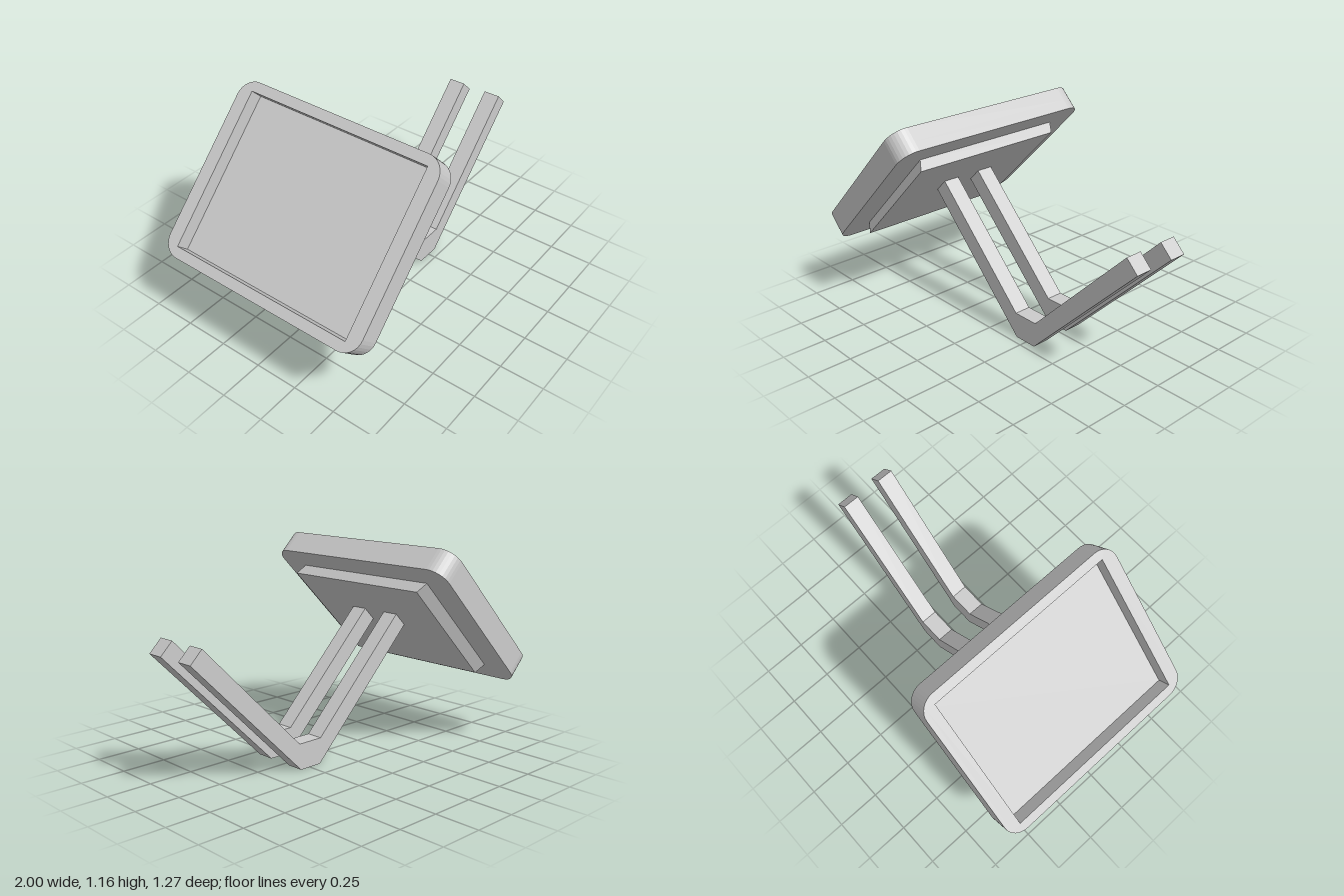
import * as THREE from 'three';

const material = new THREE.MeshStandardMaterial({ color: 0xcccccc, flatShading: true });

function addMesh(parent, name, geometry) {
  const mesh = new THREE.Mesh(geometry, material);
  mesh.name = name;
  parent.add(mesh);
  return mesh;
}

// Rounded rectangle centred on the origin
function roundedRect(w, h, r) {
  const x = w / 2 - r, y = h / 2 - r, q = Math.PI / 2;
  const shape = new THREE.Shape();
  [[x, y], [-x, y], [-x, -y], [x, -y]].forEach(([cx, cy], i) => {
    shape.absarc(cx, cy, r, i * q, (i + 1) * q, false);
  });
  shape.closePath();
  return shape;
}

function extrude(shape, depth) {
  return new THREE.ExtrudeGeometry(shape, { depth, bevelEnabled: false, curveSegments: 4 });
}

export function createModel() {
  const model = new THREE.Group();
  model.name = 'screenOnStand';

  const width = 1.266, height = 1.004, radius = 0.1;
  const thickness = 0.141, recess = 0.085;

  // Head: local x runs up the slope, local y across, local z out of the display
  const head = new THREE.Group();
  head.name = 'screenHead';
  const s = Math.SQRT1_2;
  head.quaternion.setFromRotationMatrix(new THREE.Matrix4().makeBasis(
    new THREE.Vector3(s, s, 0),
    new THREE.Vector3(0, 0, -1),
    new THREE.Vector3(-s, s, 0)));
  head.position.set(-0.545, 0.705, 0);
  model.add(head);

  // Solid slab behind the display; its top is the recessed display face
  addMesh(head, 'displayPanel', extrude(roundedRect(height, width, radius), thickness - recess));

  // Raised frame around the display
  const frame = roundedRect(height, width, radius);
  const a = 0.445, b = 0.554;
  frame.holes.push(new THREE.Path([[-a, -b], [-a, b], [a, b], [a, -b]]
    .map(([x, y]) => new THREE.Vector2(x, y))));
  addMesh(head, 'displayFrame', extrude(frame, recess)).position.z = thickness - recess;

  // Rear housing, with its outer face slid slightly sideways
  const housing = new THREE.BoxGeometry(0.75, 0.936, 0.064).translate(0, 0, -0.032);
  const p = housing.attributes.position;
  for (let i = 0; i < p.count; i++) {
    if (p.getZ(i) < -0.03) p.setY(i, p.getY(i) - 0.03);
  }
  housing.computeVertexNormals();
  addMesh(head, 'rearHousing', housing);

  // Two bent support arms
  const armShape = new THREE.Shape([
    [-0.49, 0.67], [0.175, 0], [0.312, 0], [1, 0.688],
    [0.93, 0.758], [0.32, 0.145], [0.17, 0.145], [-0.42, 0.74],
  ].map(([x, y]) => new THREE.Vector2(x, y)));
  [['leftArm', 0.11], ['rightArm', -0.132]].forEach(([name, z]) => {
    addMesh(model, name, extrude(armShape, 0.096)).position.z = z;
  });

  return model;
}
